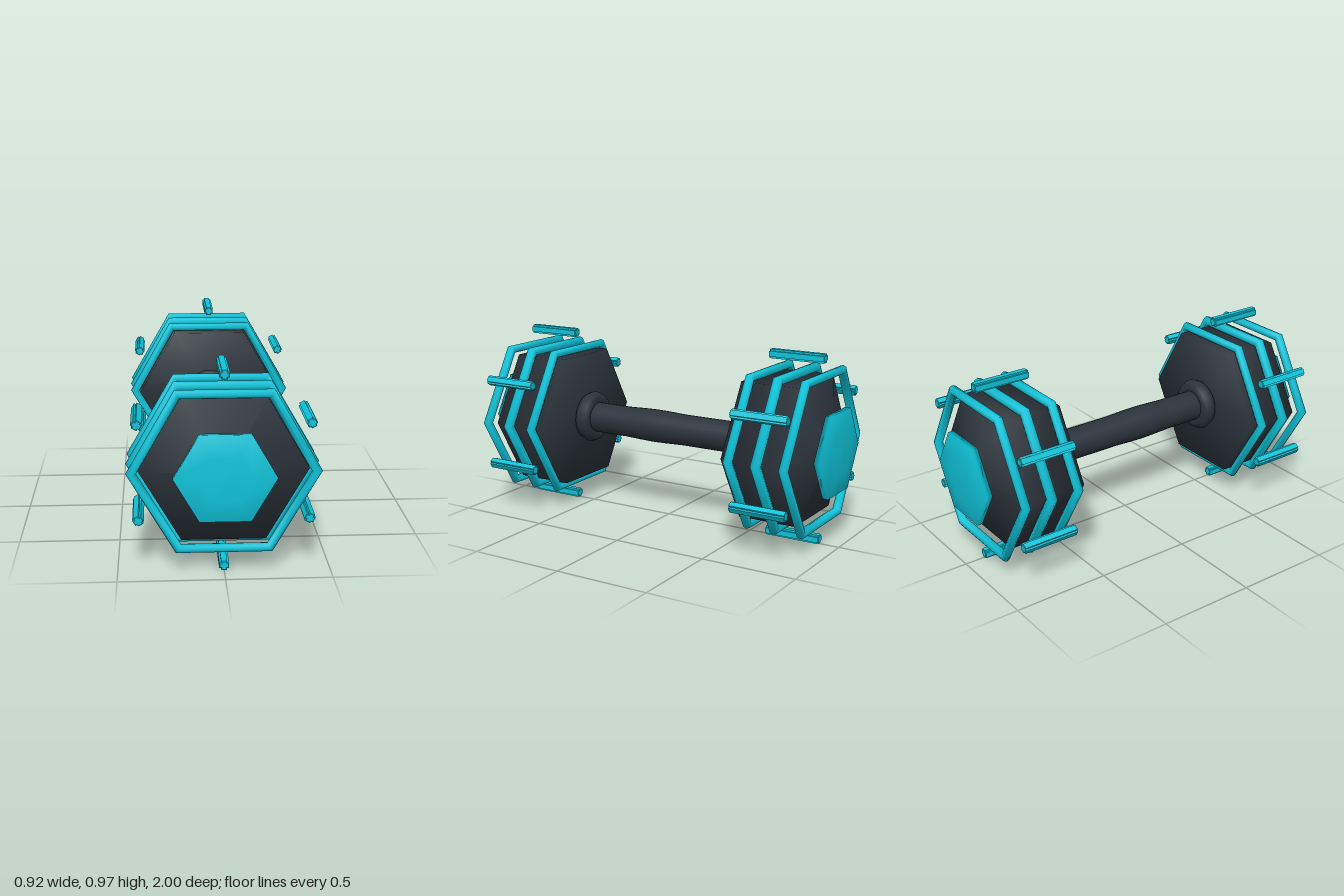
import * as THREE from 'three';

const CENTER_Y = 0.495;

export function createModel() {
  const rubber = new THREE.MeshStandardMaterial({ color: 0x2b333b });
  rubber.name = 'charcoal';
  const accent = new THREE.MeshStandardMaterial({ color: 0x0fc4da });
  accent.name = 'cyan';

  const model = new THREE.Group();
  model.name = 'dumbbell';

  const add = (parent, name, geometry, material) => {
    const mesh = new THREE.Mesh(geometry, material);
    mesh.name = name;
    parent.add(mesh);
    return mesh;
  };

  // Revolve [radius, z] points about the z axis; hexagon corners lie on x
  const revolve = (profile, sides) =>
    new THREE.LatheGeometry(profile.map(([r, z]) => new THREE.Vector2(r, z)), sides, Math.PI / 2)
      .rotateX(Math.PI / 2);

  // Grip with a slight swelling
  const grip = revolve([
    [0.082, -0.56], [0.082, -0.1], [0.086, 0.0], [0.088, 0.08],
    [0.086, 0.16], [0.082, 0.26], [0.082, 0.56],
  ], 24);
  add(model, 'grip', grip, rubber).position.y = CENTER_Y;

  // Plus-shaped bar section with softened ends
  const arm = 0.0195, core = 0.01;
  const section = new THREE.Shape([
    [arm, -core], [arm, core], [core, core], [core, arm], [-core, arm], [-core, core],
    [-arm, core], [-arm, -core], [-core, -core], [-core, -arm], [core, -arm], [core, -core],
  ].map(([x, y]) => new THREE.Vector2(x, y)));
  const barGeometry = new THREE.ExtrudeGeometry(section, {
    depth: 0.284, bevelEnabled: true, bevelSize: 0.004, bevelThickness: 0.008, bevelSegments: 2,
  }).translate(0, 0, 0.604);

  const headGeometry = revolve([[0, 0.54], [0.4, 0.54], [0.4, 0.85], [0, 0.95]], 6);
  const badgeGeometry = revolve([
    [0, 0.955], [0.239, 0.955], [0.239, 0.984], [0.12, 0.996], [0, 1],
  ], 6);

  // Weighted ends, the rear one turned round
  for (const [name, turn] of [['frontEnd', 0], ['rearEnd', Math.PI]]) {
    const end = new THREE.Group();
    end.name = name;
    end.position.y = CENTER_Y;
    end.rotation.y = turn;
    model.add(end);

    add(end, 'hexHead', headGeometry, rubber);
    add(end, 'collar', new THREE.TorusGeometry(0.0975, 0.0425, 8, 28), rubber).position.z = 0.495;
    add(end, 'endCap', badgeGeometry, accent);

    // Three hexagonal hoops
    for (const [z, tube] of [[0.595, 0.025], [0.745, 0.028], [0.89, 0.025]]) {
      add(end, 'hexHoop', new THREE.TorusGeometry(0.43, tube, 8, 6), accent).position.z = z;
    }

    // Six bars facing the flats
    for (let i = 0; i < 6; i++) {
      const angle = Math.PI / 6 + i * Math.PI / 3;
      const bar = add(end, 'sideBar', barGeometry, accent);
      bar.position.set(0.462 * Math.cos(angle), 0.462 * Math.sin(angle), 0);
      bar.rotation.z = angle;
    }
  }
  return model;
}
